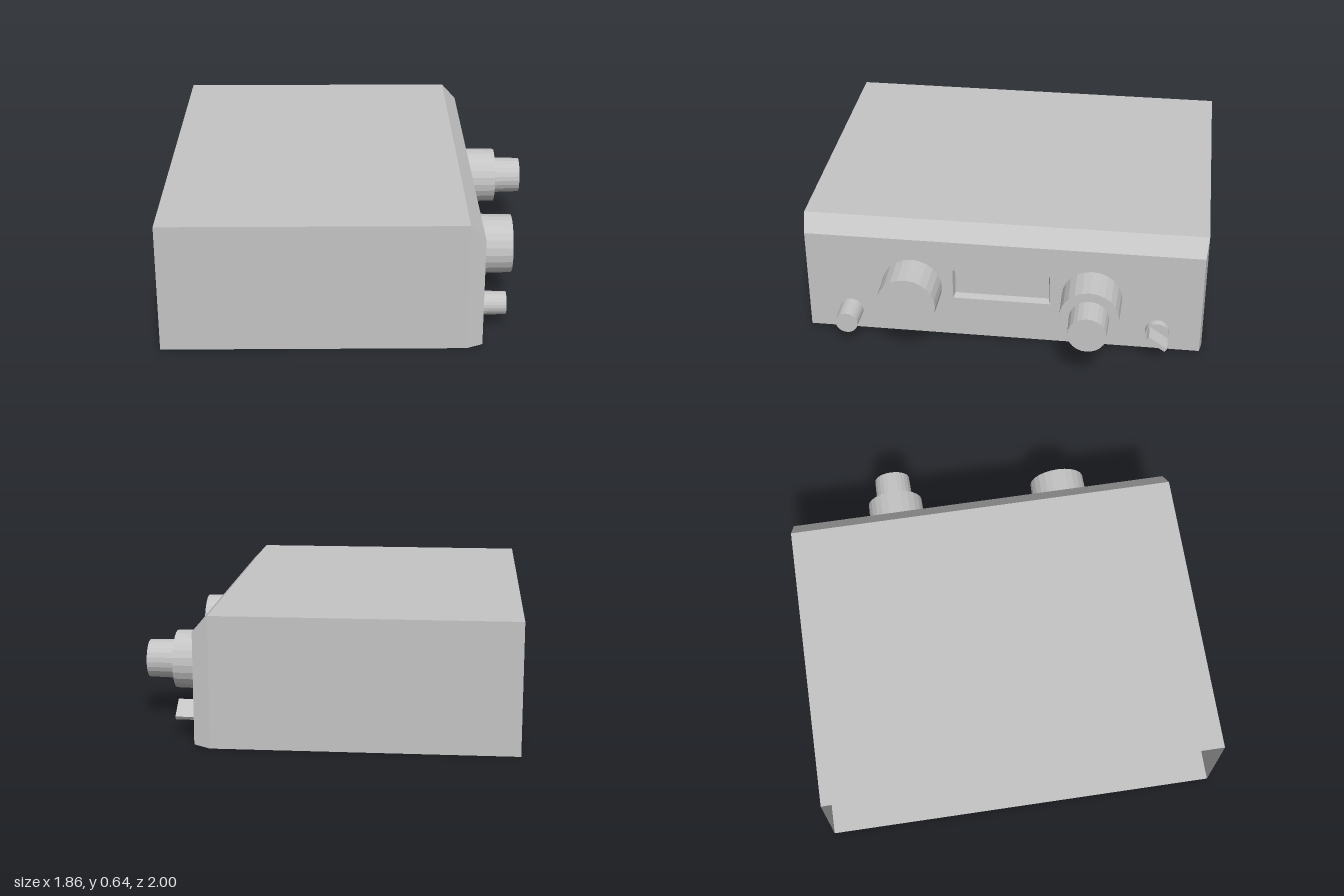
import * as THREE from 'three';

const FACE = 0.605; // x of the control panel
const KNOB_Y = 0.295, SMALL_Y = 0.125;

// Rectangular cross-section across x, anticlockwise seen from +x
const ring = (x, y0, y1, z0, z1) => [[x, y0, z1], [x, y0, z0], [x, y1, z0], [x, y1, z1]];

// Skin a list of cross-sections, optionally closing the last one
function loft(rings, capEnd) {
  const pos = [];
  const quad = (a, b, c, d) => pos.push(...a, ...b, ...c, ...a, ...c, ...d);
  for (let i = 0; i < rings.length - 1; i++) {
    const a = rings[i], b = rings[i + 1];
    for (let k = 0; k < 4; k++) {
      const n = (k + 1) % 4;
      quad(a[k], a[n], b[n], b[k]);
    }
  }
  if (capEnd) quad(...rings[rings.length - 1]);
  const g = new THREE.BufferGeometry();
  g.setAttribute('position', new THREE.Float32BufferAttribute(pos, 3));
  g.computeVertexNormals();
  return g;
}

export function createModel() {
  const model = new THREE.Group();
  model.name = 'radioUnit';
  const grey = new THREE.MeshStandardMaterial({ color: 0xc4c4c4, side: THREE.DoubleSide, flatShading: true });
  grey.name = 'grey';

  const add = (name, geometry) => {
    const mesh = new THREE.Mesh(geometry, grey);
    mesh.name = name;
    model.add(mesh);
    return mesh;
  };

  // Slightly tapered knob pointing along +x
  const knob = (name, x0, x1, y, z, r0, r1) => {
    const g = new THREE.CylinderGeometry(r1, r0, x1 - x0, 24);
    g.rotateZ(-Math.PI / 2);
    add(name, g).position.set((x0 + x1) / 2, y, z);
  };

  // Case: open at the back end, bevelled towards the panel
  add('case', loft([
    ring(-0.93, 0, 0.64, -1, 1),
    ring(0.53, 0, 0.64, -1, 1),
    ring(FACE, 0.015, 0.56, -0.988, 0.988),
  ], false));

  // Control panel with the window cut out
  const panel = new THREE.Shape();
  panel.moveTo(-0.988, 0.015).lineTo(0.988, 0.015).lineTo(0.988, 0.56).lineTo(-0.988, 0.56).closePath();
  const hole = new THREE.Path();
  hole.moveTo(-0.25, 0.235).lineTo(-0.25, 0.397).lineTo(0.235, 0.397).lineTo(0.235, 0.235).closePath();
  panel.holes.push(hole);
  const panelGeo = new THREE.ShapeGeometry(panel);
  panelGeo.rotateY(Math.PI / 2);
  add('controlPanel', panelGeo).position.x = FACE;

  // Recessed display
  add('displayRecess', loft([
    ring(FACE, 0.235, 0.397, -0.235, 0.25),
    ring(FACE - 0.04, 0.242, 0.39, -0.228, 0.243),
  ], false));
  const back = new THREE.PlaneGeometry(0.471, 0.148);
  back.rotateY(Math.PI / 2);
  add('displayScreen', back).position.set(FACE - 0.04, 0.316, 0.0075);

  // Large knobs, one with a stacked inner dial
  knob('tuningKnob', FACE, 0.785, KNOB_Y, 0.455, 0.15, 0.146);
  knob('selectorKnob', FACE, 0.785, KNOB_Y, -0.445, 0.15, 0.146);
  knob('selectorInnerDial', 0.785, 0.926, KNOB_Y, -0.445, 0.098, 0.094);

  // Small knob
  knob('volumeKnob', FACE, 0.733, SMALL_Y, 0.773, 0.059, 0.056);

  // Rotary switch: round base with a slanted grip blade
  knob('switchBase', FACE, 0.637, SMALL_Y, -0.775, 0.06, 0.058);
  const blade = add('switchBlade', new THREE.BoxGeometry(0.092, 0.022, 0.112));
  blade.position.set(0.68, SMALL_Y, -0.777);
  blade.rotation.x = -0.61;

  return model;
}
